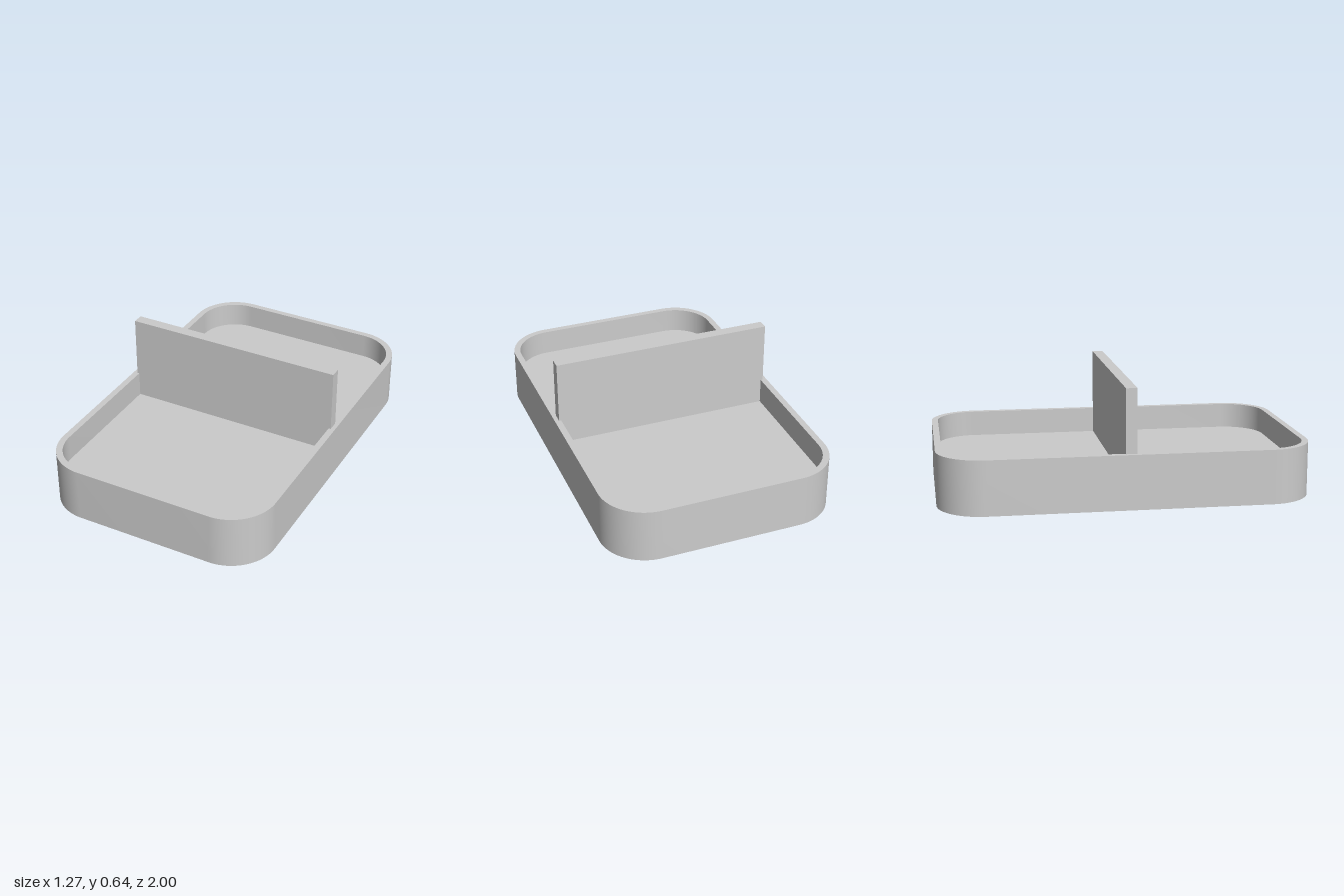
import * as THREE from 'three';
import { toCreasedNormals } from 'three/addons/utils/BufferGeometryUtils.js';

const HALF_W = 0.633, HALF_L = 1, RADIUS = 0.25, WALL = 0.035;

// Rounded rectangle, inset from the outer outline
function outline(inset, PathType = THREE.Shape) {
  const w = HALF_W - inset, l = HALF_L - inset, r = RADIUS - inset;
  const p = new PathType();
  p.absarc(w - r, l - r, r, 0, Math.PI / 2);
  p.absarc(r - w, l - r, r, Math.PI / 2, Math.PI);
  p.absarc(r - w, r - l, r, Math.PI, Math.PI * 1.5);
  p.absarc(w - r, r - l, r, Math.PI * 1.5, Math.PI * 2);
  p.closePath();
  return p;
}

// Extrude a plan shape upwards between two heights
function slab(shape, bottom, top) {
  const geo = new THREE.ExtrudeGeometry(shape, { depth: top - bottom, bevelEnabled: false, curveSegments: 16 });
  geo.rotateX(-Math.PI / 2).translate(0, bottom, 0);
  return toCreasedNormals(geo, Math.PI / 6);
}

export function createModel() {
  const group = new THREE.Group();
  const material = new THREE.MeshStandardMaterial({ color: 0xcccccc });
  const add = (name, geometry) => {
    const mesh = new THREE.Mesh(geometry, material);
    mesh.name = name;
    group.add(mesh);
  };

  // Rounded wall, open above and below
  const ring = outline(0);
  ring.holes.push(outline(WALL, THREE.Path));
  add('wall', slab(ring, 0, 0.295));

  // Floor halfway up the wall, let slightly into it
  const floorTop = 0.153;
  add('floor', slab(outline(WALL - 0.01), 0.12, floorTop));

  // Upright divider across the middle, its ends set into the wall
  const dividerTop = 0.64, dividerBottom = floorTop - 0.01;
  const divider = new THREE.BoxGeometry(1.22, dividerTop - dividerBottom, 0.06);
  divider.translate(0, (dividerTop + dividerBottom) / 2, 0);
  add('divider', divider);

  return group;
}
